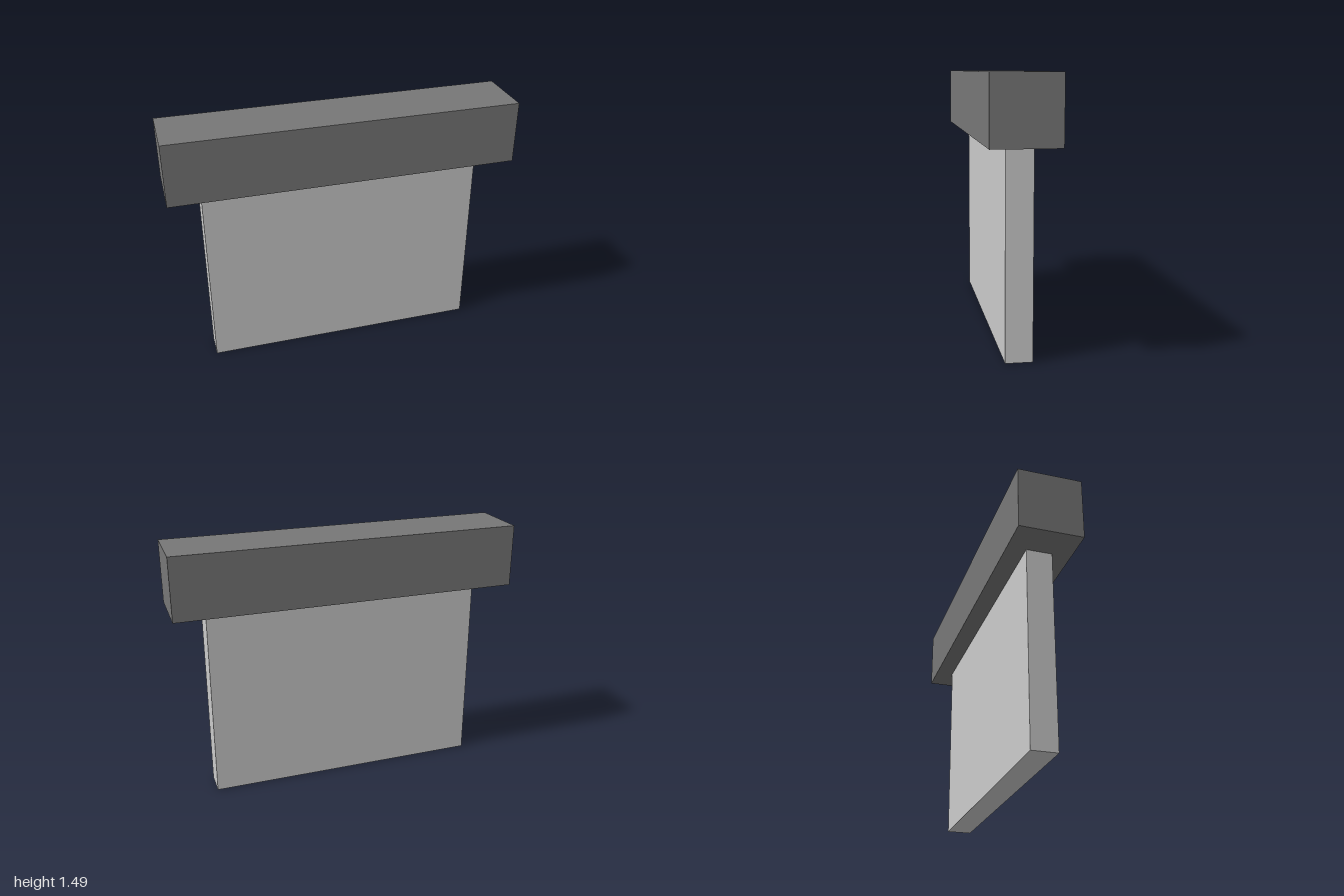
import * as THREE from 'three';

// Adds a box resting on height y, centred on x and z
function addBlock(group, name, [w, h, d], y, color) {
  const mesh = new THREE.Mesh(
    new THREE.BoxGeometry(w, h, d),
    new THREE.MeshStandardMaterial({ color })
  );
  mesh.name = name;
  mesh.position.y = y + h / 2;
  group.add(mesh);
}

export function createModel() {
  const model = new THREE.Group();
  model.name = 'panelWithHeader';
  const panelHeight = 1.125;

  // Thin upright panel
  addBlock(model, 'panel', [1.616, panelHeight, 0.146], 0, 0xcccccc);
  // Wide dark header beam on top
  addBlock(model, 'headerBeam', [2, 0.36, 0.36], panelHeight, 0x777777);

  return model;
}
